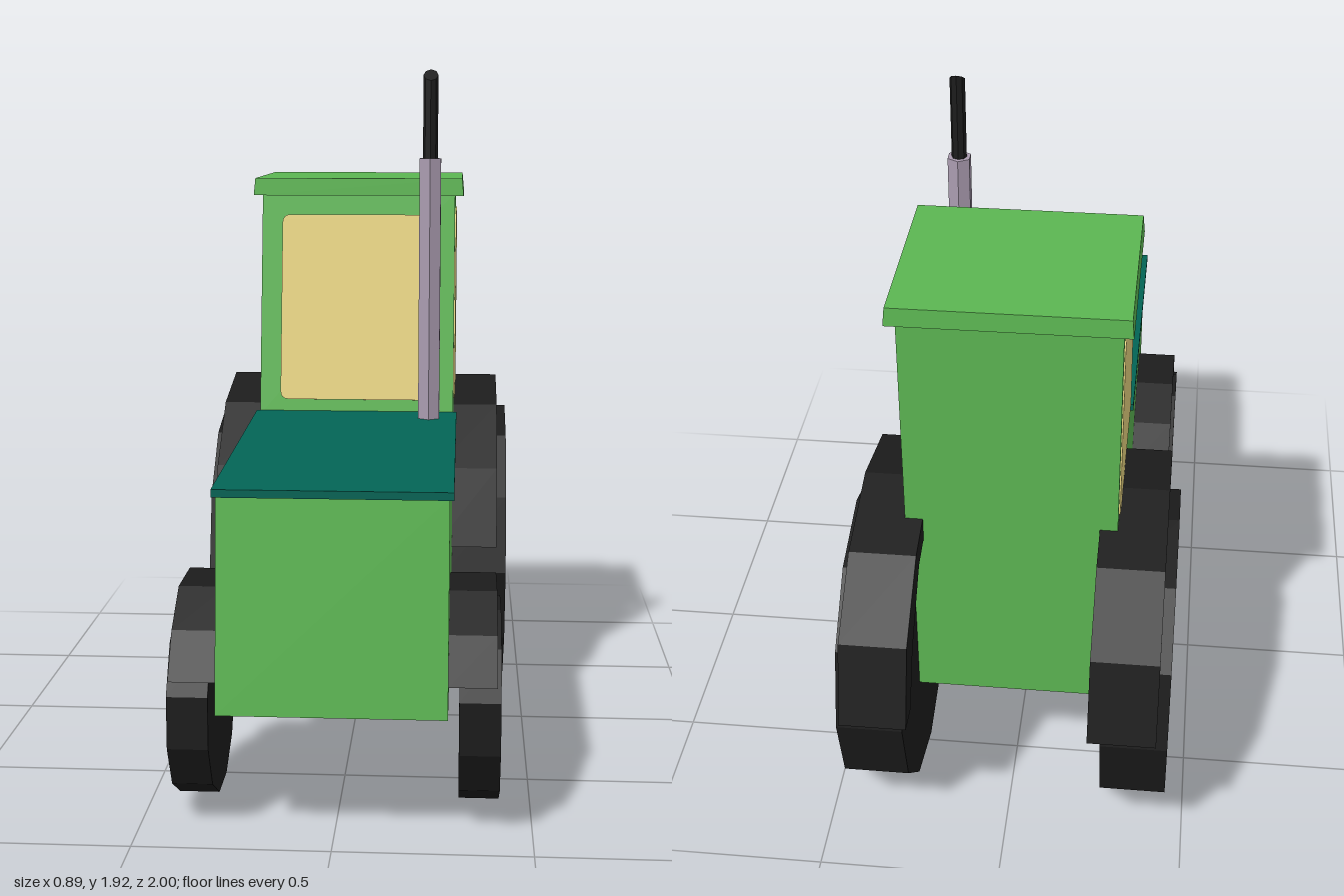
import * as THREE from 'three';

const mat = (name, color) => Object.assign(new THREE.MeshStandardMaterial({ color }), { name });

// Faceted copy of a geometry, one normal per face
function flat(geo) {
  const g = geo.index ? geo.toNonIndexed() : geo;
  g.computeVertexNormals();
  return g;
}

function add(parent, name, geo, material) {
  const mesh = new THREE.Mesh(geo, material);
  mesh.name = name;
  parent.add(mesh);
  return mesh;
}

const polygon = (pts) => new THREE.Shape(pts.map(([a, b]) => new THREE.Vector2(a, b)));

// Polygon with softened corners
function roundedPolygon(pts, r) {
  const v = pts.map(([a, b]) => new THREE.Vector2(a, b));
  const s = new THREE.Shape();
  v.forEach((p, i) => {
    const toward = (q) => p.clone().add(q.clone().sub(p).setLength(r));
    const a = toward(v[(i + v.length - 1) % v.length]);
    const b = toward(v[(i + 1) % v.length]);
    if (i) s.lineTo(a.x, a.y); else s.moveTo(a.x, a.y);
    s.quadraticCurveTo(p.x, p.y, b.x, b.y);
  });
  s.closePath();
  return s;
}

// Side profile in (z, y), extruded across x from x0 to x1
function sideExtrude(shape, x0, x1) {
  const g = new THREE.ExtrudeGeometry(shape, { depth: x1 - x0, bevelEnabled: false, curveSegments: 4 });
  return g.rotateY(-Math.PI / 2).translate(x1, 0, 0);
}

export function createModel() {
  const tractor = new THREE.Group();
  tractor.name = 'tractor';
  const green = mat('body green', 0x5cb652);
  const teal = mat('hood teal', 0x036556);
  const glass = mat('window tan', 0xe8d480);
  const black = mat('rubber black', 0x1c1c1c);
  const orange = mat('rim orange', 0xe8a030);
  const grey = mat('pipe grey', 0xaa9cb0);

  // Body and cab share one side profile
  add(tractor, 'body', sideExtrude(polygon([
    [1, 0.345], [0.94, 0.885], [0, 0.92], [-0.12, 1.57], [-0.615, 1.57], [-0.615, 0.345],
  ]), -0.285, 0.285), green);

  // Sloping hood plate
  add(tractor, 'hood', sideExtrude(polygon([
    [0.95, 0.88], [0.95, 0.9], [-0.005, 0.932], [-0.005, 0.91],
  ]), -0.295, 0.295), teal);

  // Roof slab, slightly narrower at the top
  const roof = new THREE.BoxGeometry(0.62, 0.05, 0.55);
  const rp = roof.attributes.position;
  for (let i = 0; i < rp.count; i++) {
    if (rp.getY(i) > 0) rp.setXYZ(i, rp.getX(i) * 0.985, rp.getY(i), rp.getZ(i) * 0.985);
  }
  roof.computeVertexNormals();
  add(tractor, 'roof', roof, green).position.set(0, 1.585, -0.372);

  // Windows: one on the slanted front, one on each side
  const lean = Math.atan2(0.12, 0.65);
  const lo = 0.04 / Math.cos(lean), hi = 0.578 / Math.cos(lean);
  const frontGlass = new THREE.ExtrudeGeometry(
    roundedPolygon([[-0.225, lo], [0.225, lo], [0.225, hi], [-0.225, hi]], 0.025),
    { depth: 0.008, bevelEnabled: false, curveSegments: 4 },
  ).translate(0, 0, -0.004);
  const front = add(tractor, 'frontWindow', frontGlass, glass);
  front.rotation.x = -lean;
  front.position.set(0, 0.925, 0);
  const sideGlass = roundedPolygon([[-0.147, 1.505], [-0.583, 1.505], [-0.588, 0.963], [-0.043, 0.963]], 0.025);
  add(tractor, 'leftWindow', sideExtrude(sideGlass, 0.281, 0.289), glass);
  add(tractor, 'rightWindow', sideExtrude(sideGlass, -0.289, -0.281), glass);

  // Exhaust: hexagonal sleeve with a slant-cut pipe
  add(tractor, 'exhaustSleeve', flat(new THREE.CylinderGeometry(0.035, 0.035, 0.76, 6)), grey)
    .position.set(0.215, 1.293, 0.077);
  const pipe = new THREE.CylinderGeometry(0.021, 0.021, 0.25, 8);
  const pp = pipe.attributes.position;
  for (let i = 0; i < pp.count; i++) {
    if (pp.getY(i) > 0) pp.setY(i, 0.11 - pp.getZ(i) * 0.75);
  }
  add(tractor, 'exhaustPipe', flat(pipe), black).position.set(0.215, 1.795, 0.077);

  // Wheel whose outer face looks toward +x; h is half its width.
  // The sidewall slopes in to a sunken rim, with a raised ring around the hub.
  function wheel(name, R, rim, hub, h, phase) {
    const g = new THREE.Group();
    g.name = name;
    const turn = (pts, n) => flat(new THREE.LatheGeometry(
      pts.map(([r, y]) => new THREE.Vector2(r, y)), n, phase).rotateZ(-Math.PI / 2));
    const k = R / 0.437;
    const d = h - 0.03 * k, lip = d + 0.016 * k, cap = d - 0.008 * k;
    const bore = hub - 0.012;
    add(g, 'tyre', turn([[0, -h], [R, -h], [R, h], [rim, d]], 12), black);
    add(g, 'rim', turn([[rim, d], [hub, d]], 12), orange);
    add(g, 'hubRing', turn([[hub * 1.04, d - 0.001], [hub, d], [hub - 0.004, lip], [bore, lip], [bore, cap]], 12), orange);
    add(g, 'hubCap', turn([[bore, cap], [0, cap]], 12), black);
    return g;
  }

  // Fender outlines in (z, y): outer edge, then inner edge backwards
  const rearFender = polygon([
    [0.06, 0.54], [-0.02, 0.76], [-0.21, 0.92], [-0.47, 0.975], [-0.735, 0.91], [-0.93, 0.76], [-1, 0.54],
    [-0.92, 0.54], [-0.85, 0.69], [-0.7, 0.85], [-0.47, 0.91], [-0.23, 0.85], [-0.08, 0.69], [-0.02, 0.54],
  ]);
  const frontFender = polygon([
    [0.975, 0.42], [0.9, 0.53], [0.78, 0.61], [0.6, 0.61], [0.46, 0.545], [0.38, 0.425], [0.365, 0.29],
    [0.41, 0.295], [0.425, 0.425], [0.495, 0.505], [0.61, 0.57], [0.77, 0.565], [0.87, 0.495], [0.94, 0.415],
  ]);

  // Wheels and fenders on both sides
  for (const [side, s] of [['left', 1], ['right', -1]]) {
    const rear = wheel(side + 'RearWheel', 0.437, 0.372, 0.147, 0.09, 0);
    rear.position.set(s * 0.357, 0.438, -0.47);
    const fore = wheel(side + 'FrontWheel', 0.262, 0.22, 0.087, 0.052, Math.PI / 12);
    fore.position.set(s * 0.364, 0.3, 0.683);
    for (const w of [rear, fore]) {
      if (s < 0) w.rotation.y = Math.PI;
      tractor.add(w);
    }
    const span = (a, b) => (s > 0 ? [a, b] : [-b, -a]);
    add(tractor, side + 'RearFender', sideExtrude(rearFender, ...span(0.237, 0.417)), black);
    add(tractor, side + 'FrontFender', sideExtrude(frontFender, ...span(0.285, 0.405)), black);
  }
  return tractor;
}
